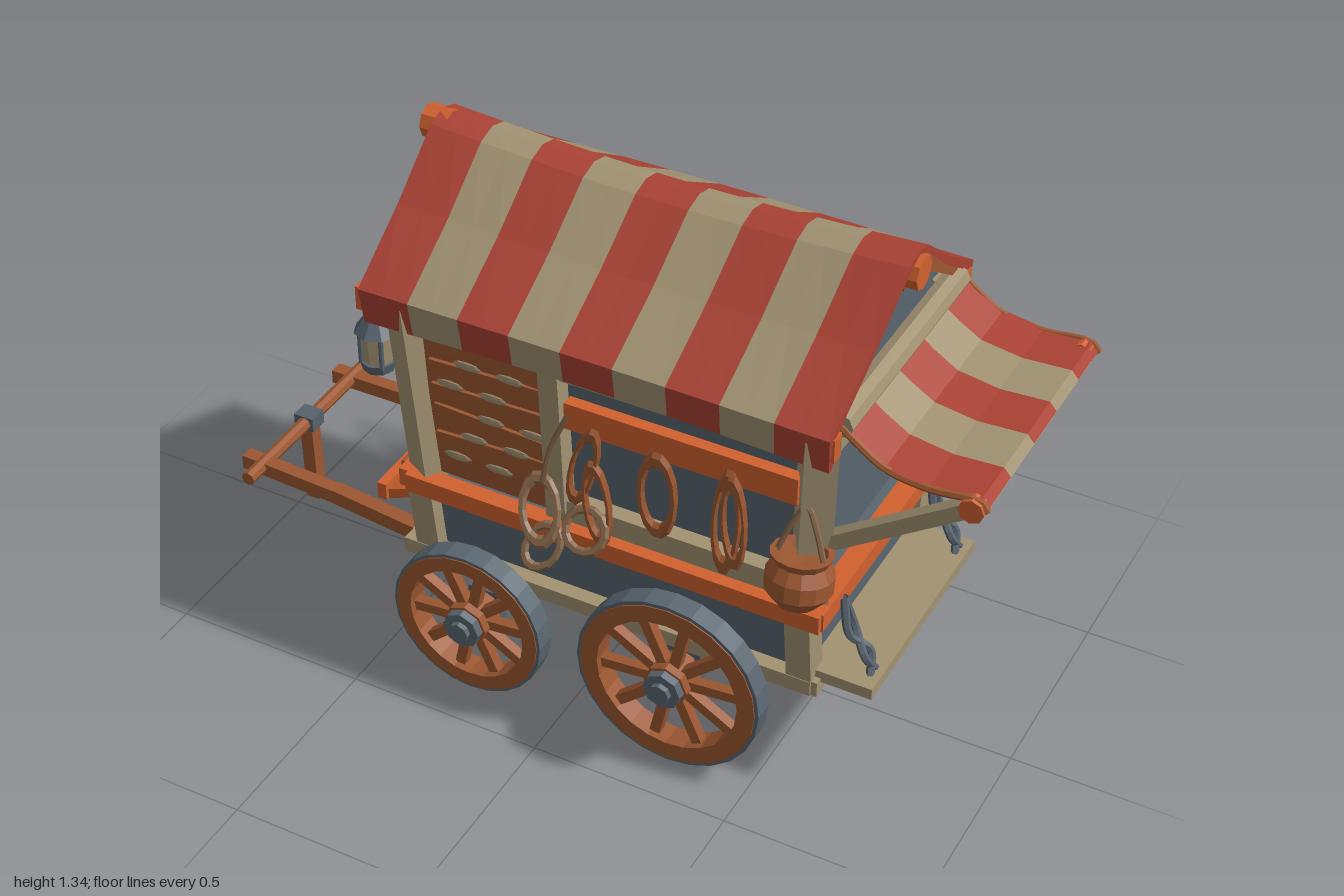
import * as THREE from 'three';

const mat = (name, color) => {
  const m = new THREE.MeshStandardMaterial({ color, flatShading: true, side: THREE.DoubleSide });
  m.name = name;
  return m;
};
const red = mat('red cloth', 0xab4234), tan = mat('pale wood and cloth', 0xa29272);
const slate = mat('slate', 0x5a6670), brown = mat('brown wood', 0x9c5731);
const orange = mat('orange wood', 0xd2612f), iron = mat('dark iron', 0x56626c);
const rope = mat('rope', 0x86664a);
const V = (a) => new THREE.Vector3(...a);

export function createModel() {
  const root = new THREE.Group();
  root.name = 'marketWagon';
  const add = (name, geo, m, pos = [0, 0, 0], parent = root) => {
    const mesh = new THREE.Mesh(geo, m);
    mesh.name = name;
    mesh.position.set(...pos);
    parent.add(mesh);
    return mesh;
  };
  const box = (name, m, x0, x1, y0, y1, z0, z1) =>
    add(name, new THREE.BoxGeometry(x1 - x0, y1 - y0, z1 - z0), m, [(x0 + x1) / 2, (y0 + y1) / 2, (z0 + z1) / 2]);
  // Rectangular beam between two points
  const beam = (name, m, a, b, w, h = w, parent = root) => {
    const p = V(a), q = V(b);
    const mesh = add(name, new THREE.BoxGeometry(w, h, p.distanceTo(q)), m, p.clone().add(q).multiplyScalar(0.5).toArray(), parent);
    mesh.lookAt(q);
    return mesh;
  };
  // Round pole between two points
  const pole = (name, m, a, b, r, r2 = r, parent = root) => {
    const p = V(a), q = V(b), d = q.clone().sub(p);
    const mesh = add(name, new THREE.CylinderGeometry(r2, r, d.length(), 8), m, p.clone().add(q).multiplyScalar(0.5).toArray(), parent);
    mesh.quaternion.setFromUnitVectors(V([0, 1, 0]), d.normalize());
    return mesh;
  };
  const tube = (name, m, pts, r) =>
    add(name, new THREE.TubeGeometry(new THREE.CatmullRomCurve3(pts.map(V)), 16, r, 6), m);
  // Cloth strip: f(u, v) gives a point, u and v run from 0 to 1
  const cloth = (name, m, nu, nv, f) => {
    const pos = [], idx = [];
    for (let i = 0; i <= nu; i++) for (let j = 0; j <= nv; j++) pos.push(...f(i / nu, j / nv));
    for (let i = 0; i < nu; i++) for (let j = 0; j < nv; j++) {
      const a = i * (nv + 1) + j, b = a + nv + 1;
      idx.push(a, b, a + 1, b, b + 1, a + 1);
    }
    const g = new THREE.BufferGeometry();
    g.setAttribute('position', new THREE.Float32BufferAttribute(pos, 3));
    g.setIndex(idx);
    g.computeVertexNormals();
    return add(name, g, m);
  };

  // Striped roof, sagging along the ridge, with thick hems at both ends
  const half = [[0.362, 0.985], [0.38, 1.085], [0.2, 1.21], [0.05, 1.335]];
  const profile = [...half, [0, 1.35], ...half.slice().reverse().map(([z, y]) => [-z, y])];
  const roofPoint = (t, v) => {
    const [z, y] = profile[Math.round(v * 8)], lift = Math.max(0, (y - 1) / 0.35);
    const sag = Math.sin(Math.PI * t);
    return [-0.495 + t * (1.15 + 0.025 * lift), y - lift * (0.025 * sag + 0.01 * t) + (1 - lift) * 0.015 * sag, z];
  };
  for (let s = 0; s < 9; s++)
    cloth('roofStripe', s % 2 ? tan : red, 2, 8, (u, v) => roofPoint((s + u) / 9, v));
  for (const t of [0, 1])
    cloth('roofHem', red, 1, 8, (u, v) => {
      const [x, y, z] = roofPoint(t, v);
      return [x, y - u * (y > 1 ? 0.018 : 0), z * (1 - 0.05 * u)];
    });

  // Striped side awning with a plain lining and corded edges
  const dip = [[0.655, 1.08], [0.7, 1.045], [0.76, 1.008], [0.86, 0.993], [0.975, 1.0], [0.992, 0.98]];
  for (let s = 0; s < 5; s++)
    cloth('awningStripe', s % 2 ? tan : red, 5, 1, (u, v) => [...dip[Math.round(u * 5)], -0.33 + (s + v) * 0.129]);
  cloth('awningLining', tan, 5, 1, (u, v) => {
    const [x, y] = dip[Math.round(u * 5)];
    return [x - 0.004, y - 0.012, -0.33 + v * 0.645];
  });
  for (const z of [-0.325, 0.31]) tube('awningCord', brown, dip.map(([x, y]) => [x, y - 0.006, z]), 0.009);
  pole('awningBar', tan, [0.96, 0.972, -0.3], [0.96, 0.972, 0.3], 0.026);
  for (const z of [-0.31, 0.31]) {
    pole('awningBarEnd', orange, [0.96, 0.973, z - 0.015], [0.96, 0.973, z + 0.015], 0.03);
    beam('awningStrut', tan, [0.62, 0.74, z * 0.97], [0.955, 0.97, z * 0.97], 0.036);
  }

  // Roof timbers, tucked under the cloth
  beam('ridgeBeam', brown, [-0.48, 1.275, 0], [0.66, 1.27, 0], 0.05, 0.05);
  for (const [x, y] of [[-0.5, 1.31], [0.66, 1.288]])
    pole('ridgeEnd', orange, [x - 0.033, y, 0], [x + 0.033, y, 0], 0.041);
  for (const s of [-1, 1]) {
    beam('eaveBeam', orange, [-0.515, 1.045, s * 0.345], [0.665, 1.045, s * 0.345], 0.035, 0.06);
    for (const x of [-0.46, 0.63]) {
      beam('rafter', brown, [x, 1.305, 0], [x, 1.178, s * 0.2], 0.05, 0.04);
      beam('rafter', brown, [x, 1.181, s * 0.195], [x, 1.065, s * 0.36], 0.05, 0.04);
    }
  }
  const gable = new THREE.Shape([[-0.35, 0], [0.35, 0], [0.35, 0.07], [0.2, 0.185], [0, 0.31], [-0.2, 0.185], [-0.35, 0.07]]
    .map(([x, y]) => new THREE.Vector2(x, y)));
  for (const x of [-0.4, 0.6]) {
    add('gable', new THREE.ShapeGeometry(gable), slate, [x, 1.0, 0]).rotation.y = Math.PI / 2;
    box('gableBeam', tan, x - 0.02, x + 0.03, 0.955, 1.0, -0.33, 0.33);
  }
  pole('awningRoll', tan, [0.65, 1.075, -0.315], [0.65, 1.075, 0.31], 0.032);

  // Lower body flaring outwards, and inner walls
  const flare = (geo, k) => {
    const p = geo.attributes.position;
    for (let i = 0; i < p.count; i++) if (p.getY(i) > 0) p.setZ(i, p.getZ(i) * k);
    geo.computeVertexNormals();
    return geo;
  };
  add('lowerBody', flare(new THREE.BoxGeometry(1.0, 0.2, 0.57), 1.09), slate, [0.09, 0.43, 0]);
  add('innerWalls', flare(new THREE.BoxGeometry(0.84, 0.45, 0.55), 1.12), slate, [0.15, 0.775, 0]);
  box('floor', slate, -0.4, 0.6, 0.315, 0.335, -0.28, 0.28);
  for (const x of [-0.42, 0.6]) box('endSill', tan, x - 0.03, x + 0.035, 0.305, 0.345, -0.32, 0.32);
  for (const s of [-1, 1]) {
    box('sideSill', tan, -0.45, 0.62, 0.305, 0.345, s * 0.3 - 0.025, s * 0.3 + 0.025);
    for (const [x, dx] of [[-0.385, -0.02], [0.59, 0.025]]) {
      beam('lowerPost', tan, [x, 0.33, s * 0.29], [x, 0.54, s * 0.318], 0.062);
      beam('cornerPost', tan, [x, 0.55, s * 0.288], [x + dx, 1.06, s * 0.325], 0.075);
    }
    beam('middlePost', tan, [-0.03, 0.55, s * 0.3], [-0.03, 1.04, s * 0.33], 0.05);
    // Counter rail, window sill and hanging board
    box('sideRail', orange, -0.42, 0.645, 0.52, 0.568, s * 0.33 - 0.022, s * 0.33 + 0.022);
    box('windowSill', tan, -0.02, 0.58, 0.565, 0.625, s * 0.3 - 0.02, s * 0.3 + 0.02);
    box('topPlate', tan, -0.4, 0.6, 0.98, 1.03, s * 0.322 - 0.02, s * 0.322 + 0.02);
    box('hangingBoard', orange, 0.01, 0.58, 0.86, 0.93, s * 0.335 - 0.015, s * 0.335 + 0.015);
    // Shutter panel with worn pale patches, planked on the front
    beam('shutterPanel', brown, [-0.2, 0.57, s * 0.292], [-0.2, 0.99, s * 0.325], 0.32, 0.02);
    for (let i = 0; i < 5; i++) {
      const y = 0.65 + i * 0.072, z = s * (0.31 + i * 0.0058), x = -0.24 + (i % 3) * 0.05;
      if (s > 0) add('shutterPlank', new THREE.BoxGeometry(0.29, 0.05, 0.024), brown, [-0.2, y + 0.034, z]).rotation.z = [0.04, -0.05, 0.03][i % 3];
      for (const d of [-0.05, 0.06])
        add('shutterPatch', new THREE.SphereGeometry(1, 8, 4).scale(0.038, 0.012, 0.004), tan, [x + d, y, z + s * 0.012]);
    }
  }
  box('endRail', orange, 0.6, 0.65, 0.52, 0.568, -0.342, 0.338);
  box('endRail', orange, -0.445, -0.4, 0.52, 0.568, -0.342, 0.338);

  // Open shelves and tray at the shaft end
  for (let i = 0; i < 5; i++) {
    const y = 0.61 + i * 0.08;
    beam('shelf', brown, [-0.35, y + 0.008 * (i % 2), -0.27], [-0.35, y + 0.012 * (1 - i % 2), 0.27], 0.15, 0.02);
    for (let k = 0; k < 3; k++)
      box('shelfGoods', (i + k) % 3 ? brown : slate, -0.37, -0.28, y + 0.01, y + 0.05, -0.2 + k * 0.15, -0.12 + k * 0.15);
  }
  beam('tray', orange, [-0.4, 0.49, 0], [-0.51, 0.445, 0], 0.62, 0.025);
  beam('trayLip', orange, [-0.51, 0.46, -0.32], [-0.51, 0.46, 0.32], 0.025, 0.045);
  for (const z of [-0.2, 0, 0.2]) box('trayBox', brown, -0.49, -0.445, 0.46, 0.52, z - 0.06, z + 0.06);

  // Step with its straps
  box('step', tan, 0.6, 0.76, 0.335, 0.365, -0.285, 0.3);
  for (const z of [-0.24, 0.24])
    for (const d of [-0.015, 0.015])
      tube('stepStrap', iron, [[0.655, 0.55, z], [0.68, 0.46, z + d], [0.72, 0.41, z - d], [0.735, 0.36, z + d]], 0.01);

  // Wheels
  const ring = (r0, r1, w) => {
    const g = new THREE.LatheGeometry([[r0, -w], [r1, -w], [r1, w], [r0, w], [r0, -w]].map(([x, y]) => new THREE.Vector2(x, y)), 24);
    return g.rotateX(Math.PI / 2);
  };
  for (const [x, y, R] of [[-0.24, 0.215, 0.2], [0.295, 0.255, 0.235]]) {
    for (const s of [-1, 1]) {
      const w = new THREE.Group();
      w.name = 'wheel';
      w.position.set(x, y, s * 0.37);
      root.add(w);
      add('tyre', ring(R * 0.93, R, 0.027), slate, [0, 0, 0], w);
      add('rim', ring(R * 0.77, R * 0.96, 0.03), brown, [0, 0, 0], w);
      for (let i = 0; i < 10; i++) {
        const a = i * Math.PI / 5 + 0.1, c = Math.cos(a), n = Math.sin(a);
        beam('spoke', brown, [c * 0.03, n * 0.03, 0], [c * R * 0.82, n * R * 0.82, 0], 0.026, 0.026, w)
          .lookAt(x + c, y + n, s * 0.37);
      }
      pole('hub', brown, [0, 0, -0.035], [0, 0, 0.035], 0.056, 0.056, w);
      pole('hubCap', slate, [0, 0, 0], [0, 0, s * 0.055], 0.052, 0.048, w);
      pole('hubNut', slate, [0, 0, 0], [0, 0, s * 0.068], 0.03, 0.026, w);
      box('axleBlock', brown, x - 0.03, x + 0.03, y, 0.315, s * 0.24 - 0.04, s * 0.24 + 0.04);
    }
    // Axle and iron bands
    pole('axle', brown, [x, y, -0.36], [x, y, 0.36], 0.04);
    for (const z of [-0.3, 0, 0.3]) box('axleBand', iron, x - 0.043, x + 0.043, y - 0.043, y + 0.043, z - 0.015, z + 0.015);
  }
  box('frontBolster', brown, -0.27, -0.21, 0.165, 0.2, -0.25, 0.25);

  // Pulling shafts, crossbar and prop
  for (const s of [-1, 1]) {
    const z = s > 0 ? 0.195 : -0.21;
    beam('shaft', brown, [-1, 0.29, z], [-0.72, 0.286, z + s * 0.008], 0.036, 0.038);
    beam('shaft', brown, [-0.73, 0.286, z + s * 0.006], [-0.38, 0.283, s * 0.235], 0.038, 0.04);
  }
  pole('crossbar', brown, [-0.95, 0.295, -0.32], [-0.945, 0.295, 0.27], 0.018);
  beam('prop', brown, [-0.945, 0.05, -0.01], [-0.95, 0.29, -0.01], 0.036);
  box('propBand', iron, -0.978, -0.922, 0.275, 0.315, -0.035, 0.015);

  // Lanterns
  for (const z of [-0.31, 0.31]) {
    const l = new THREE.Group();
    l.name = 'lantern';
    l.position.set(-0.5, 0.825, z);
    root.add(l);
    const part = (name, m, r0, r1, y0, y1) => pole(name, m, [0, y0, 0], [0, y1, 0], r0, r1, l);
    part('lanternBase', iron, 0.038, 0.044, 0, 0.025);
    part('lanternGlass', tan, 0.036, 0.042, 0.025, 0.105);
    part('lanternRoof', iron, 0.054, 0.02, 0.105, 0.15);
    part('lanternCap', iron, 0.022, 0.018, 0.15, 0.185);
    part('lanternHook', iron, 0.01, 0.01, 0.185, 0.24);
    for (let i = 0; i < 4; i++) {
      const a = i * Math.PI / 2 + 0.8, c = Math.cos(a) * 0.04, n = Math.sin(a) * 0.04;
      pole('lanternBar', iron, [c, 0.02, n], [c, 0.11, n], 0.006, 0.006, l);
    }
  }

  // Leaning tools
  [[[-0.73, 0.03, -0.39], [-0.42, 0.56, -0.37]], [[-0.65, 0.02, -0.28], [-0.43, 0.6, -0.37]],
    [[-0.62, 0.05, -0.43], [-0.46, 0.72, -0.42]], [[-0.56, 0.01, -0.45], [-0.47, 0.66, -0.36]],
    [[-0.6, 0.03, -0.32], [-0.42, 0.7, -0.38]]].forEach(([a, b], i) => {
    pole('toolHandle', brown, a, b, 0.015, 0.007);
    const p = V(a).lerp(V(b), 0.2 + 0.02 * i);
    if (i !== 1) add('toolHead', new THREE.BoxGeometry(0.06, 0.03, 0.04), iron, p.toArray()).rotation.z = 0.5 - i * 0.3;
  });

  // Cooking pot
  const pot = [[0, -0.07], [0.045, -0.064], [0.078, -0.025], [0.078, 0.015], [0.062, 0.045], [0.072, 0.065], [0.057, 0.065], [0.05, 0.045], [0, 0.04]];
  add('pot', new THREE.LatheGeometry(pot.map(([x, y]) => new THREE.Vector2(x, y)), 14), brown, [0.605, 0.69, 0.375]).rotation.x = -0.15;
  tube('potHandle', rope, [[0.55, 0.75, 0.375], [0.58, 0.83, 0.36], [0.605, 0.87, 0.35], [0.63, 0.83, 0.36], [0.66, 0.75, 0.375]], 0.007);

  // Hanging straps and coils: x, y, z, half width, half height, tilt
  [[0.065, 0.78, 0.362, 0.028, 0.1, -0.25], [0.1, 0.69, 0.365, 0.03, 0.1, 0.1], [0.25, 0.77, 0.362, 0.042, 0.1, 0],
    [0.42, 0.76, 0.362, 0.03, 0.125, -0.05], [0.44, 0.77, 0.366, 0.026, 0.11, 0.05], [-0.04, 0.63, 0.38, 0.045, 0.075, 0.3],
    [-0.02, 0.55, 0.405, 0.04, 0.055, -0.4], [0.08, 0.62, 0.385, 0.05, 0.05, 0]].forEach(([x, y, z, w, h, t], i) => {
    const coil = i > 4;
    const g = new THREE.TorusGeometry(1, 0.22, 6, 14).scale(w, h, 0.05);
    add(coil ? 'ropeCoil' : 'hangingStrap', g, coil ? rope : brown, [x, y, z]).rotation.set(coil ? -0.5 : 0, 0, t);
  });
  tube('strapHook', rope, [[-0.04, 0.7, 0.365], [-0.02, 0.8, 0.36], [0.02, 0.9, 0.35]], 0.007);
  return root;
}
